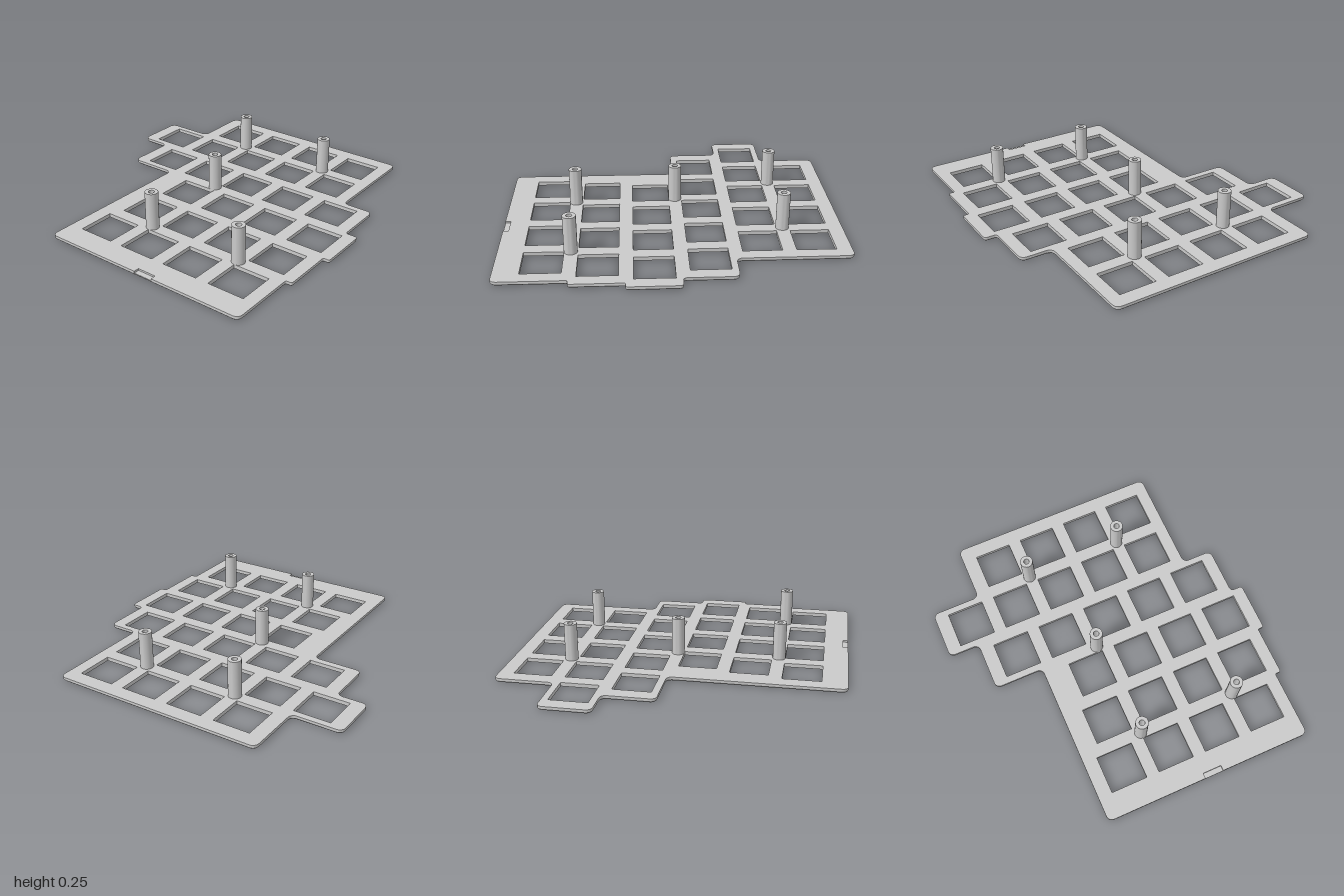
import * as THREE from 'three';
import { toCreasedNormals } from 'three/addons/utils/BufferGeometryUtils.js';

const THICK = 0.023, RECESS_FLOOR = 0.012, CHAMFER = 0.006;
const HOLE = 0.227, PITCH = 0.3075;

// Plate corners: x, z, corner radius, clockwise as seen from above
const CORNERS = [
  [-1, -0.447, 0.035], [0.028, -0.447, 0.035], [0.028, -0.754, 0.035], [0.337, -0.754, 0.035],
  [0.337, -0.945, 0.035], [0.643, -0.945, 0.035], [0.643, -0.641, 0.035], [1, -0.641, 0.035],
  [1, 0.677, 0.035], [0.335, 0.677, 0.035], [0.335, 0.868, 0.035], [0.028, 0.868, 0.02],
  [0.028, 0.945, 0.02], [-0.279, 0.945, 0.012], [-0.279, 0.906, 0.01], [-0.587, 0.906, 0.012],
  [-0.587, 0.868, 0.01], [-1, 0.868, 0.035],
];
// Recess cut into the upper half of the left edge
const NOTCH = [[-1, 0.302], [-0.967, 0.302], [-0.967, 0.184], [-1, 0.184]];

// Columns of square openings: left x, first z, count
const COLUMNS = [
  [-0.852, -0.36, 4], [-0.545, -0.322, 4], [-0.237, -0.283, 4],
  [0.07, -0.667, 5], [0.377, -0.858, 5], [0.684, -0.55, 4],
];
const POSTS = [[-0.587, -0.053], [-0.587, 0.562], [0.028, -0.077], [0.643, -0.284], [0.643, 0.331]];

// Outline with rounded corners, moved inwards by the inset
function outline(inset) {
  const pts = [], n = CORNERS.length, steps = 6;
  const dir = (p, q) => new THREE.Vector2(q[0] - p[0], q[1] - p[1]).normalize();
  CORNERS.forEach((p, i) => {
    const a = dir(CORNERS[(i + n - 1) % n], p), b = dir(p, CORNERS[(i + 1) % n]), r = p[2];
    const centre = new THREE.Vector2(p[0], p[1]).addScaledVector(a, -r).addScaledVector(b, r);
    const radius = a.cross(b) > 0 ? r - inset : r + inset;
    for (let k = 0; k <= steps; k++) {
      const t = (k / steps) * Math.PI / 2;
      pts.push(centre.clone().addScaledVector(b, -radius * Math.cos(t)).addScaledVector(a, radius * Math.sin(t)));
    }
  });
  return pts;
}

// One layer of the plate, extruded upwards from y0 to y1
function layer(points, y0, y1, steps) {
  const shape = new THREE.Shape(points.map((p) => new THREE.Vector2(p.x, -p.y)));
  for (const [x, z, count] of COLUMNS) {
    for (let i = 0; i < count; i++) {
      // Openings run against the outline so that their walls face inwards
      const z0 = z + i * PITCH, z1 = z0 + HOLE, x1 = x + HOLE;
      shape.holes.push(new THREE.Path(
        [[x, z0], [x, z1], [x1, z1], [x1, z0]].map(([u, v]) => new THREE.Vector2(u, -v))));
    }
  }
  return new THREE.ExtrudeGeometry(shape, { depth: y1 - y0, steps, bevelEnabled: false })
    .rotateX(-Math.PI / 2).translate(0, y0, 0);
}

// Lower layer: the bottom ring of the outline is pulled in to form a chamfer
function lowerLayer() {
  const outer = outline(0), inner = outline(CHAMFER);
  const key = (x, z) => `${Math.round(x * 1e4)},${Math.round(z * 1e4)}`;
  const target = new Map(outer.map((p, i) => [key(p.x, p.y), inner[i]]));
  const geo = layer(outer, 0, RECESS_FLOOR, 2), pos = geo.attributes.position;
  for (let i = 0; i < pos.count; i++) {
    const to = target.get(key(pos.getX(i), pos.getZ(i)));
    if (to && pos.getY(i) < 1e-4) pos.setXYZ(i, to.x, 0, to.y);
  }
  return geo;
}

export function createModel() {
  const group = new THREE.Group();
  const grey = new THREE.MeshStandardMaterial({ color: 0xcacaca });
  grey.name = 'light grey';

  const add = (name, geo) => {
    const mesh = new THREE.Mesh(toCreasedNormals(geo, 0.5), grey);
    mesh.name = name;
    group.add(mesh);
    return mesh;
  };

  // Plate
  add('plateLower', lowerLayer());
  const notched = [...outline(0), ...NOTCH.map(([x, z]) => new THREE.Vector2(x, z))];
  add('plateUpper', layer(notched, RECESS_FLOOR, THICK, 1));

  // Standoff posts with a blind screw hole, closed at the foot
  const profile = [[0, 0.018], [0.039, 0.018], [0.039, 0.252], [0.017, 0.252], [0.017, THICK], [0, THICK]]
    .map(([r, y]) => new THREE.Vector2(r, y));
  POSTS.forEach(([x, z], i) => {
    add(`standoff${i + 1}`, new THREE.LatheGeometry(profile, 32)).position.set(x, 0, z);
  });

  return group;
}
